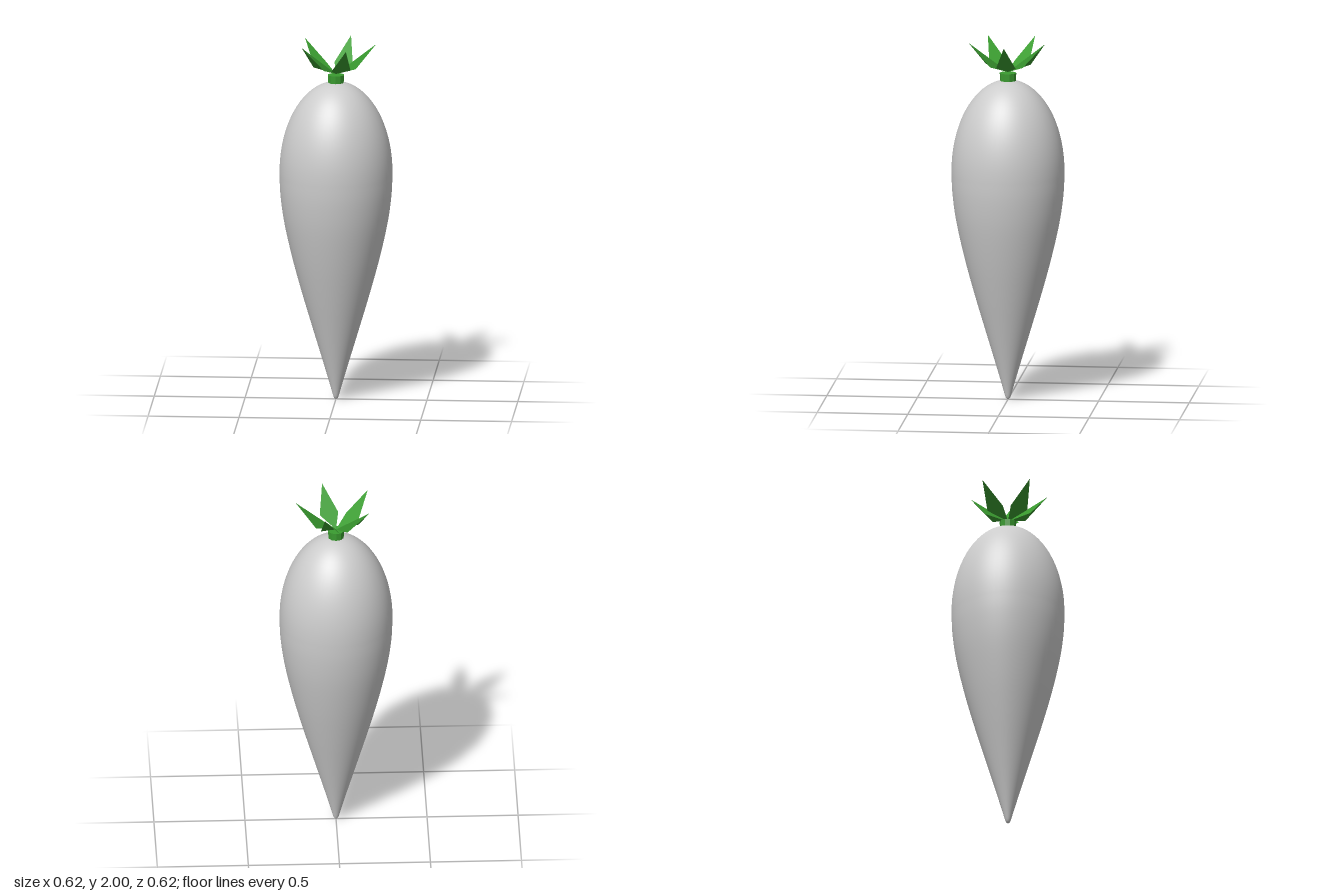
import * as THREE from 'three';

export function createModel() {
  const model = new THREE.Group();
  const rootGrey = new THREE.MeshStandardMaterial({ color: 0xcccccc });
  const leafGreen = new THREE.MeshStandardMaterial({ color: 0x3a9c30, side: THREE.DoubleSide });
  const stemGreen = new THREE.MeshStandardMaterial({ color: 0x3a9c30, flatShading: true });

  // Root: tapering tail with a rounded tip, then a semi-elliptical shoulder
  const tail = new THREE.SplineCurve([
    [0, 0], [0.013, 0.012], [0.03, 0.07], [0.068, 0.2], [0.128, 0.4], [0.187, 0.6],
    [0.241, 0.8], [0.285, 1.0], [0.306, 1.16], [0.31, 1.28],
  ].map(([r, y]) => new THREE.Vector2(r, y))).getPoints(36);
  tail[0].x = 0;
  const profile = [...tail];
  for (let i = 1; i <= 20; i++) {
    const a = (i / 20) * Math.PI / 2;
    profile.push(new THREE.Vector2(Math.max(0, 0.31 * Math.cos(a)), 1.28 + 0.505 * Math.sin(a)));
  }
  const root = new THREE.Mesh(new THREE.LatheGeometry(profile, 64), rootGrey);
  root.name = 'root';
  model.add(root);

  // Stem stub
  const stem = new THREE.Mesh(new THREE.CylinderGeometry(0.046, 0.042, 0.075, 10), stemGreen);
  stem.name = 'stem';
  stem.position.y = 1.786;
  model.add(stem);

  // Leaf: kite folded along its midrib, shaded as one plane
  const leafGeometry = new THREE.BufferGeometry();
  leafGeometry.setAttribute('position', new THREE.Float32BufferAttribute([
    0, 1.828, 0,
    0.112, 1.868, 0.054,
    0.222, 2, 0,
    0.112, 1.868, -0.054,
  ], 3));
  const n = [-0.61, 0.79, 0];
  leafGeometry.setAttribute('normal', new THREE.Float32BufferAttribute([...n, ...n, ...n, ...n], 3));
  leafGeometry.setIndex([0, 1, 2, 0, 2, 3]);

  // Crown of five leaves
  const crown = new THREE.Group();
  crown.name = 'leafCrown';
  for (let i = 0; i < 5; i++) {
    const leaf = new THREE.Mesh(leafGeometry, leafGreen);
    leaf.name = 'leaf';
    leaf.rotation.y = (i / 5) * Math.PI * 2;
    crown.add(leaf);
  }
  model.add(crown);

  return model;
}
